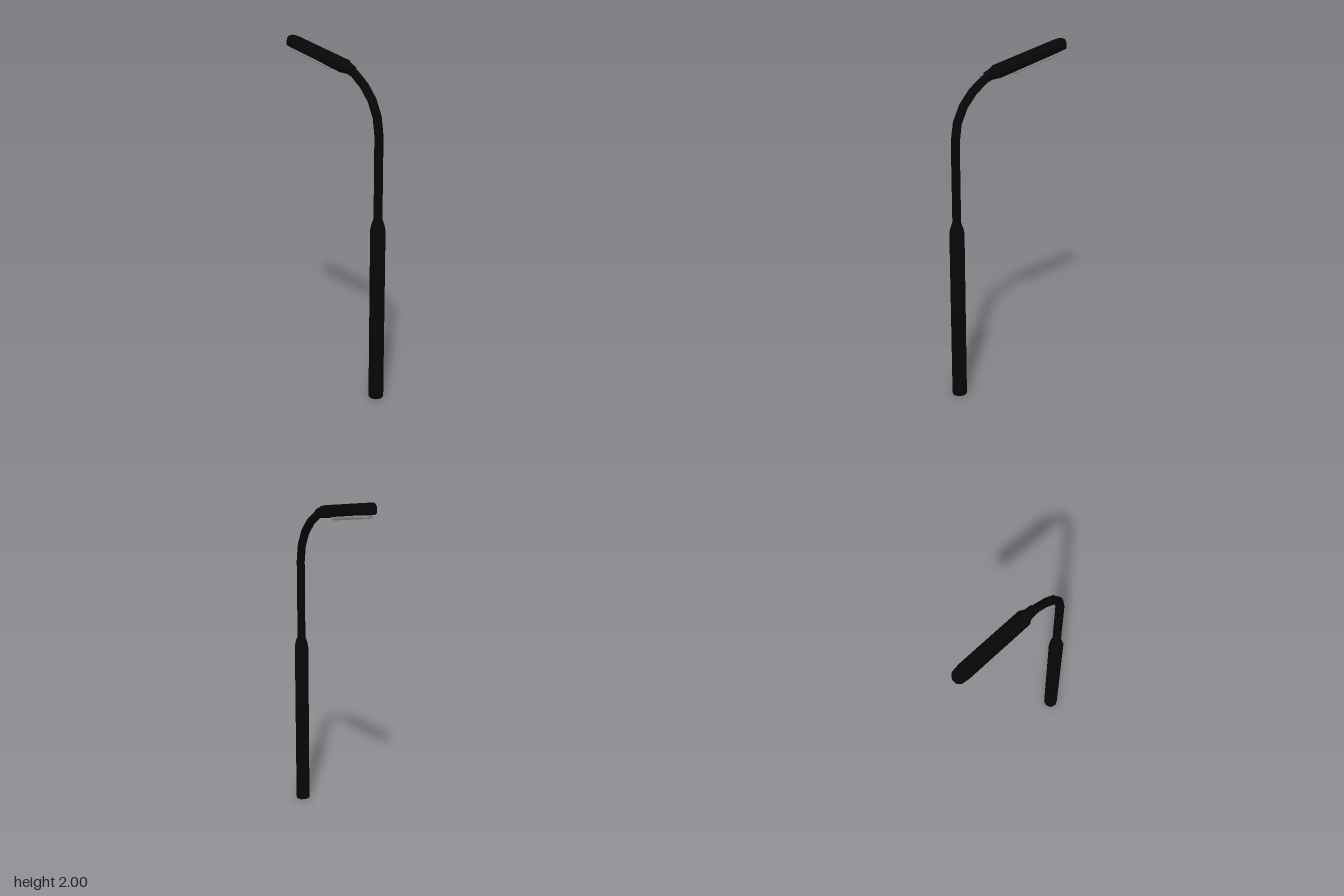
import * as THREE from 'three';
import { toCreasedNormals } from 'three/addons/utils/BufferGeometryUtils.js';

const black = new THREE.MeshStandardMaterial({ color: 0x070707 });
const glass = new THREE.MeshStandardMaterial({ color: 0xcccccc });
const POLE_Z = 0.374;

// Skin a list of equal-length rings and close both ends.
function loft(rings) {
  const n = rings[0].length, pos = [], idx = [];
  rings.forEach(r => r.forEach(p => pos.push(p.x, p.y, p.z)));
  for (let i = 0; i < rings.length - 1; i++) {
    for (let j = 0; j < n; j++) {
      const a = i * n + j, b = i * n + (j + 1) % n;
      idx.push(a, a + n, b, b, a + n, b + n);
    }
  }
  const last = (rings.length - 1) * n;
  for (let j = 1; j < n - 1; j++) {
    idx.push(0, j, j + 1, last, last + j + 1, last + j);
  }
  const g = new THREE.BufferGeometry();
  g.setAttribute('position', new THREE.Float32BufferAttribute(pos, 3));
  g.setIndex(idx);
  return toCreasedNormals(g, 0.85);
}

// Ring across a path that runs toward -z and tilts up by `angle`.
// Sections are rounded boxes; power 1 gives a plain ellipse.
function ring(z, y, angle, w, top, bottom = top, sides = 8, power = 1) {
  const pts = [];
  for (let j = 0; j < sides; j++) {
    const t = j / sides * Math.PI * 2;
    const c = Math.cos(t), s = Math.sin(t);
    const x = w * Math.sign(c) * Math.abs(c) ** power;
    const v = (s > 0 ? top : bottom) * Math.sign(s) * Math.abs(s) ** power;
    pts.push(new THREE.Vector3(x, y + v * Math.cos(angle), z + v * Math.sin(angle)));
  }
  return pts;
}

function add(group, name, geometry, material) {
  const mesh = new THREE.Mesh(geometry, material);
  mesh.name = name;
  group.add(mesh);
  return mesh;
}

export function createModel() {
  const group = new THREE.Group();
  group.name = 'streetLamp';

  // Thick lower pole with a tapered shoulder
  const profile = [[0, 0], [0.0425, 0], [0.0425, 1.0], [0.037, 1.03], [0.025, 1.065], [0, 1.065]]
    .map(p => new THREE.Vector2(...p));
  add(group, 'pole', toCreasedNormals(new THREE.LatheGeometry(profile, 8), 0.85), black)
    .position.z = POLE_Z;

  // Thin upper pole bending back into the arm: z, y, tilt in degrees
  const path = [
    [POLE_Z, 1.05, 90], [POLE_Z, 1.53, 86], [0.358, 1.63, 72], [0.315, 1.715, 55],
    [0.25, 1.785, 40], [0.17, 1.84, 27], [0.08, 1.868, 11]
  ];
  add(group, 'arm', loft(path.map(([z, y, d]) =>
    ring(z, y, THREE.MathUtils.degToRad(d), 0.025, 0.024))), black);

  // Lamp head parts are built along -z, then tilted up
  const head = new THREE.Group();
  head.name = 'lampHead';
  head.position.set(0, 1.855, 0.16);
  head.rotation.x = THREE.MathUtils.degToRad(10.7);
  group.add(head);

  // Housing with collar: distance, half width, top, bottom
  const housing = [
    [0.005, 0.025, 0.02, 0.024], [0.052, 0.028, 0.031, 0.031], [0.08, 0.0425, 0.037, 0.034],
    [0.52, 0.0425, 0.037, 0.03], [0.57, 0.036, 0.036, 0.03], [0.584, 0.021, 0.028, 0.026]
  ];
  add(head, 'housing', loft(housing.map(([d, w, t, b]) =>
    ring(-d, 0, 0, w, t, b, 16, 0.65))), black);

  // Pale lens under the housing
  const lens = [
    [0.165, 0.02, 0.036], [0.19, 0.032, 0.049], [0.5, 0.034, 0.047],
    [0.55, 0.028, 0.046], [0.574, 0.016, 0.034]
  ];
  add(head, 'lens', loft(lens.map(([d, w, b]) =>
    ring(-d, 0, 0, w, 0.005, b, 16, 0.6))), glass);

  return group;
}
